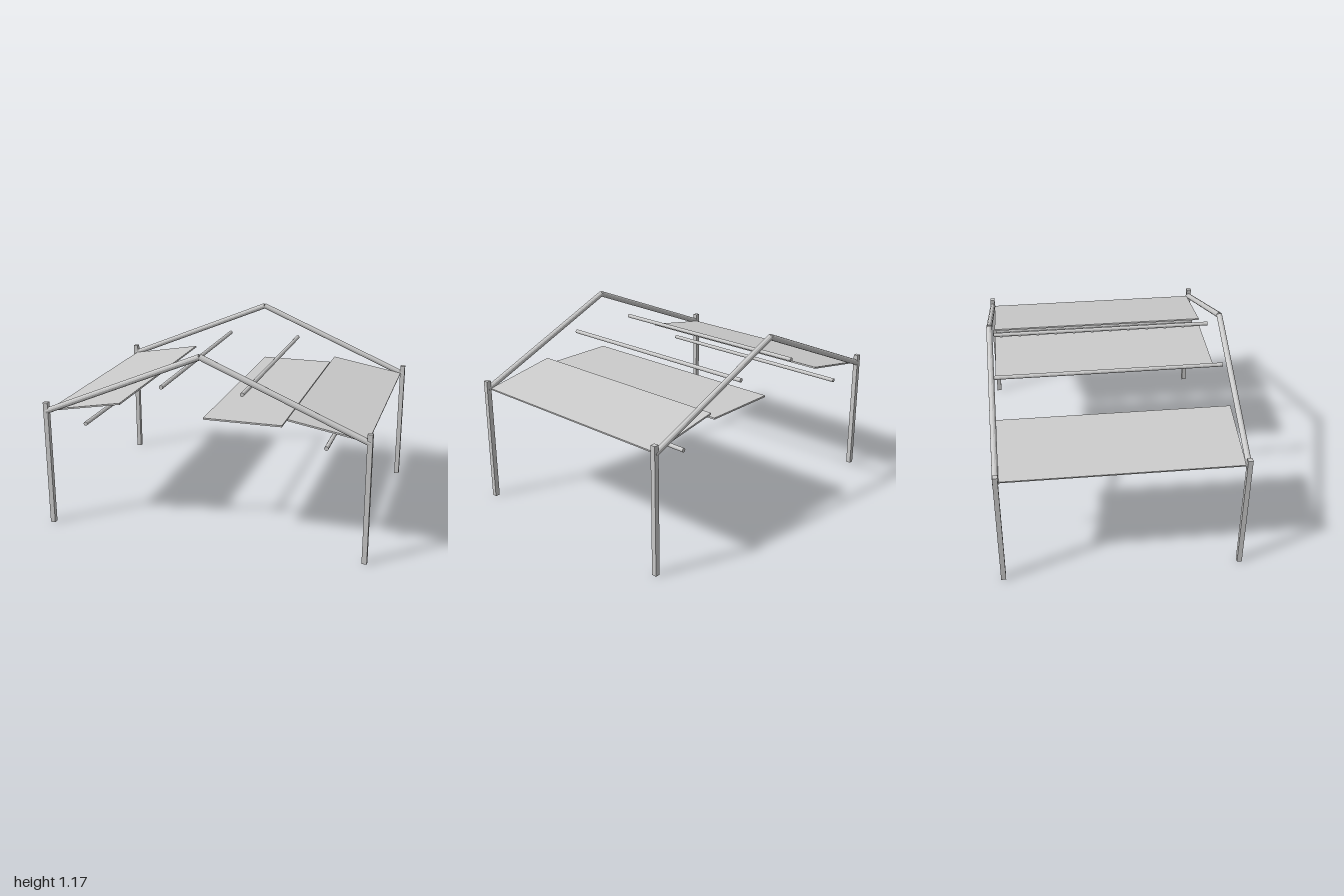
import * as THREE from 'three';

const material = new THREE.MeshStandardMaterial({ color: 0xcccccc, flatShading: true });
const FRAME_Z = 0.715;

export function createModel() {
  const group = new THREE.Group();

  const add = (name, geometry, x, y, z) => {
    const mesh = new THREE.Mesh(geometry, material);
    mesh.name = name;
    mesh.position.set(x, y, z);
    group.add(mesh);
    return mesh;
  };

  // Round bar between two points
  const bar = (name, a, b, radius) => {
    const dir = b.clone().sub(a);
    const mid = a.clone().add(b).multiplyScalar(0.5);
    const mesh = add(name, new THREE.CylinderGeometry(radius, radius, dir.length(), 12), mid.x, mid.y, mid.z);
    mesh.quaternion.setFromUnitVectors(new THREE.Vector3(0, 1, 0), dir.normalize());
  };

  // Thin roof panel, centred at (x, y) and tilted about z
  const panel = (name, x, y, tilt) => {
    add(name, new THREE.BoxGeometry(0.47, 0.01, 1.4), x, y, 0).rotation.z = tilt;
  };

  for (const sx of [-1, 1]) {
    const side = sx > 0 ? 'left' : 'right';

    // Corner posts and sloping rafters of the two end frames
    for (const sz of [-1, 1]) {
      const end = sz > 0 ? 'Front' : 'Back';
      add(`${side}${end}Post`, new THREE.BoxGeometry(0.03, 0.79, 0.03), sx * 0.985, 0.395, sz * FRAME_Z);
      bar(`${side}${end}Rafter`,
        new THREE.Vector3(sx * 0.985, 0.735, sz * FRAME_Z),
        new THREE.Vector3(0, 1.149, sz * FRAME_Z), 0.018);
    }

    // Lengthwise purlins
    for (const [name, x, y] of [['UpperPurlin', 0.245, 0.943], ['LowerPurlin', 0.738, 0.671]]) {
      bar(side + name, new THREE.Vector3(sx * x, y, -0.7), new THREE.Vector3(sx * x, y, 0.7), 0.0125);
    }

    // Tilted eave panel
    panel(`${side}EavePanel`, sx * 0.741, 0.777, -sx * 0.175);
  }

  // Level panel on one side only
  panel('levelPanel', 0.245, 0.777, 0);

  return group;
}
